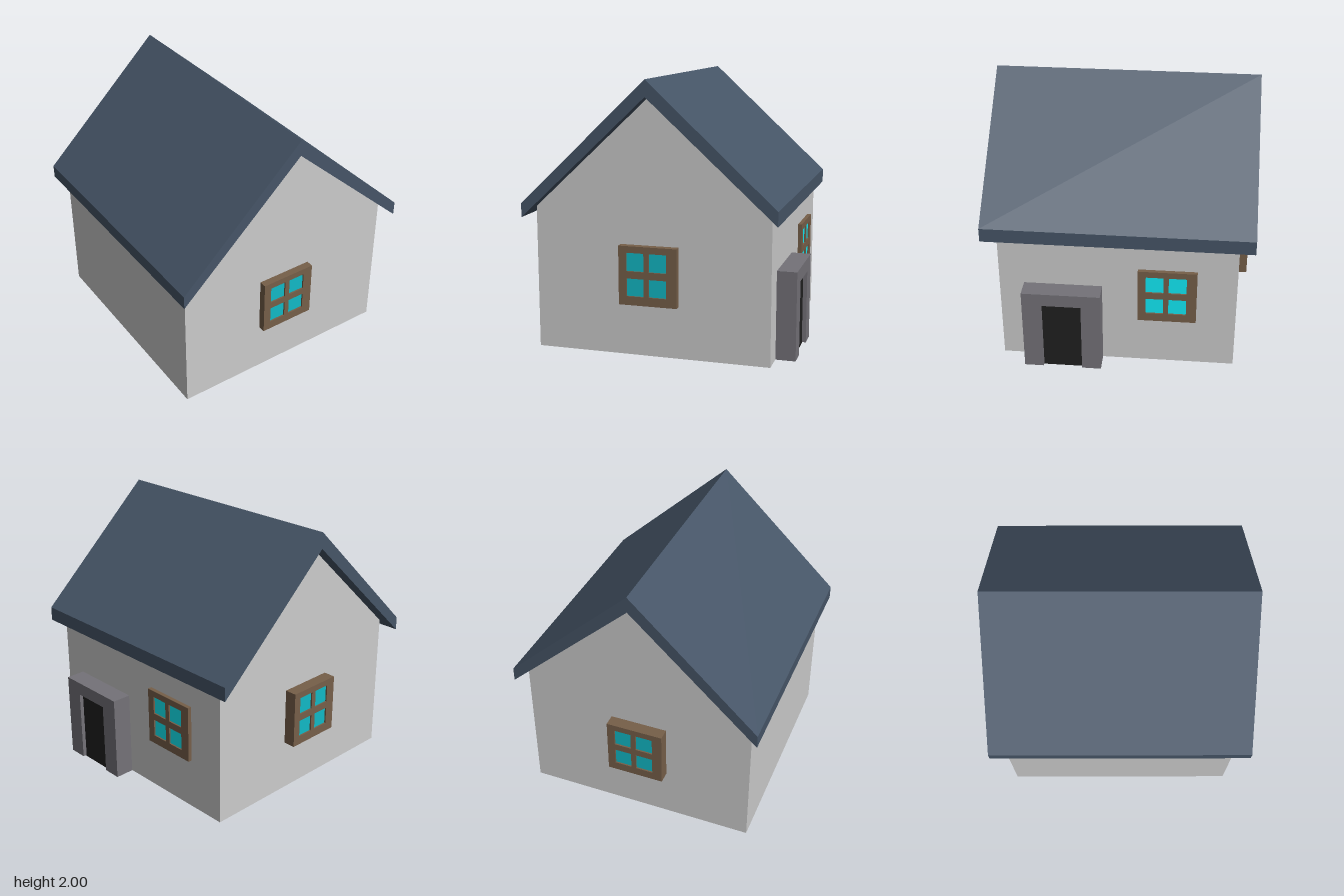
import * as THREE from 'three';

const mat = (color) => new THREE.MeshStandardMaterial({ color, flatShading: true });

const WALL = mat(0xcccccc);
const ROOF = mat(0x465567);
const WOOD = mat(0x765f49);
const STONE = mat(0x747278);
const DOOR = mat(0x202020);
const GLASS = mat(0x12b9c6);
const BRIGHT_GLASS = mat(0x12ecf8);

const polygon = (points) => new THREE.Shape(points.map(([x, y]) => new THREE.Vector2(x, y)));

const rectangle = (x0, x1, y0, y1) => polygon([[x0, y0], [x1, y0], [x1, y1], [x0, y1]]);

// Extrude a shape along z from z0 to z1
function slab(name, shape, z0, z1, material) {
  const geometry = new THREE.ExtrudeGeometry(shape, { depth: z1 - z0, bevelEnabled: false });
  geometry.translate(0, 0, z0);
  const mesh = new THREE.Mesh(geometry, material);
  mesh.name = name;
  return mesh;
}

// Four-pane window standing on the local z = 0 plane and facing +z
function createWindow(name, depth, glass) {
  const group = new THREE.Group();
  group.name = name;
  const shape = rectangle(-0.215, 0.215, -0.215, 0.215);
  for (const [x0, x1] of [[-0.157, -0.028], [0.01, 0.14]]) {
    for (const [y0, y1] of [[-0.15, -0.02], [0.033, 0.167]]) {
      shape.holes.push(rectangle(x0, x1, y0, y1));
    }
  }
  group.add(slab('windowFrame', shape, -0.02, depth, WOOD));
  group.add(slab('windowGlass', rectangle(-0.19, 0.19, -0.19, 0.19), -0.01, depth - 0.012, glass));
  return group;
}

export function createModel() {
  const house = new THREE.Group();
  house.name = 'house';

  // Gabled body
  const body = polygon([[-0.91, 0.01], [0.83, 0.01], [0.83, 1.09], [-0.04, 1.88], [-0.91, 1.066]]);
  house.add(slab('walls', body, -0.87, 0.87, WALL));

  // Pitched roof with vertical eave edges
  const roof = polygon([[-0.98, 1.0], [-0.04, 1.88], [0.89, 1.035], [0.89, 1.14], [-0.04, 2.0], [-0.98, 1.1]]);
  house.add(slab('roof', roof, -0.98, 0.98, ROOF));

  // Windows on the front, back and door side: depth, position, turn, glass
  const windows = [
    ['frontWindow', 0.055, [-0.05, 0.61, 0.87], 0, GLASS],
    ['backWindow', 0.09, [-0.05, 0.61, -0.87], Math.PI, GLASS],
    ['sideWindow', 0.03, [0.83, 0.61, -0.365], Math.PI / 2, BRIGHT_GLASS],
  ];
  for (const [name, depth, position, turn, glass] of windows) {
    const unit = createWindow(name, depth, glass);
    unit.position.set(...position);
    unit.rotation.y = turn;
    house.add(unit);
  }

  // Entrance: surround with an open doorway and a recessed door
  const entrance = new THREE.Group();
  entrance.name = 'entrance';
  const surround = polygon([
    [-0.2875, 0.008], [-0.145, 0.008], [-0.145, 0.56], [0.145, 0.56],
    [0.145, 0.008], [0.2875, 0.008], [0.2875, 0.66], [-0.2875, 0.66],
  ]);
  entrance.add(slab('doorSurround', surround, -0.3, 0.145, STONE));
  entrance.add(slab('door', rectangle(-0.16, 0.16, 0, 0.575), 0.09, 0.115, DOOR));
  entrance.position.set(0.83, 0, 0.4);
  entrance.rotation.y = Math.PI / 2;
  house.add(entrance);

  return house;
}
